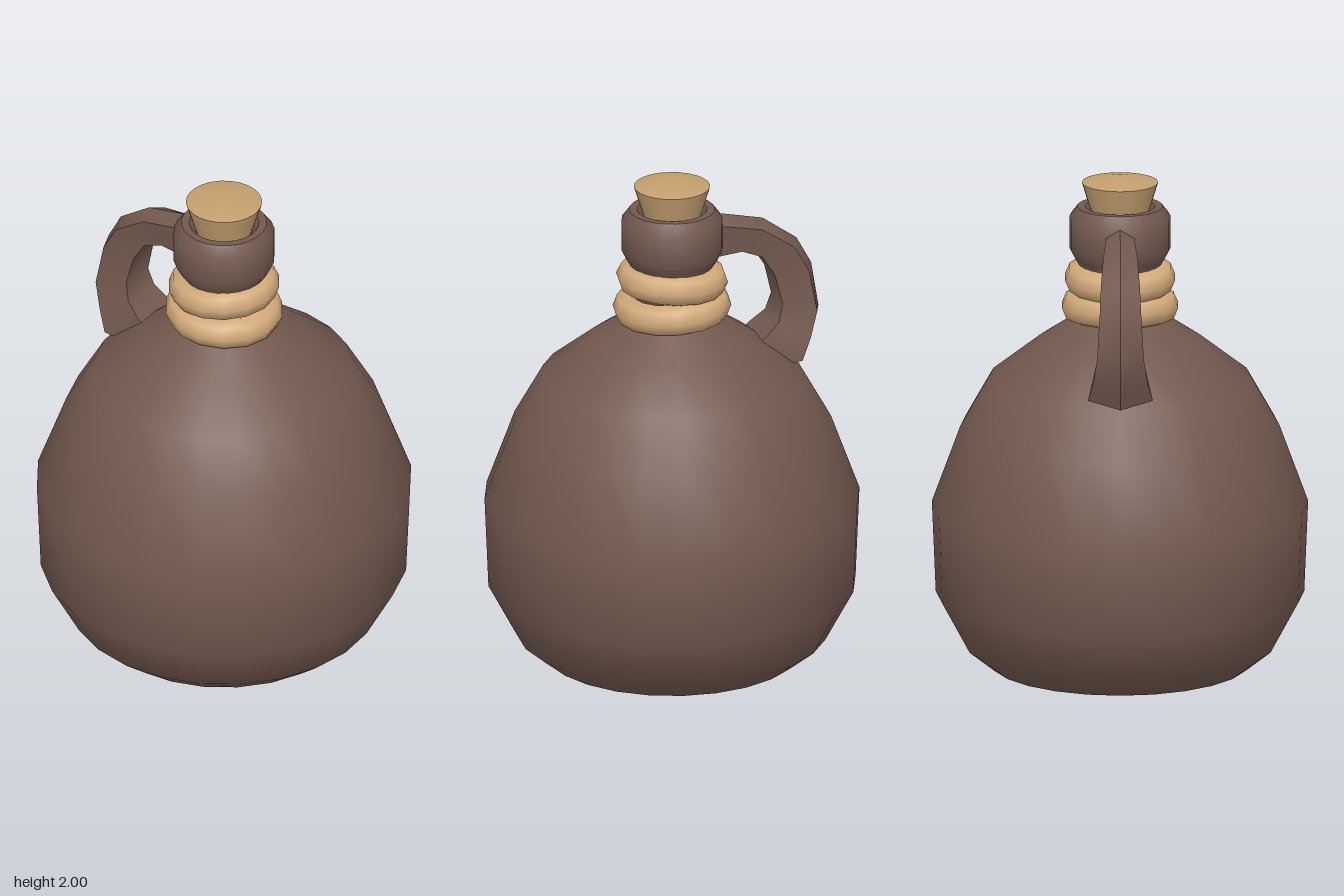
import * as THREE from 'three';
import { toCreasedNormals } from 'three/addons/utils/BufferGeometryUtils.js';

const mat = (color) => new THREE.MeshStandardMaterial({ color });
const clay = mat(0x73594f), rope = mat(0xd3aa7b), corkMat = mat(0xc49f6f);

function part(name, geometry, material, crease = 0.8) {
  const mesh = new THREE.Mesh(toCreasedNormals(geometry, crease), material);
  mesh.name = name;
  return mesh;
}

function lathe(profile, sides) {
  return new THREE.LatheGeometry(profile.map(([r, y]) => new THREE.Vector2(r, y)), sides);
}

// Handle lofted from five-sided sections: [outerX, outerY, innerX, innerY, halfWidth]
function handleGeometry() {
  const sections = [
    [-0.12, 1.84, -0.12, 1.66, 0.05],
    [-0.20, 1.83, -0.19, 1.67, 0.055],
    [-0.37, 1.79, -0.27, 1.68, 0.065],
    [-0.51, 1.69, -0.35, 1.65, 0.075],
    [-0.57, 1.58, -0.40, 1.57, 0.08],
    [-0.60, 1.40, -0.43, 1.45, 0.09],
    [-0.565, 1.29, -0.41, 1.38, 0.105],
    [-0.53, 1.20, -0.35, 1.33, 0.125],
    [-0.46, 1.19, -0.28, 1.28, 0.11],
  ];
  // [share of the way from outer to inner, share of half width]
  const ring = [[0, 0], [0.22, 1], [1, 0.75], [1, -0.75], [0.22, -1]];
  const n = ring.length, pos = [], idx = [];
  for (const [ox, oy, ix, iy, w] of sections)
    for (const [t, s] of ring) pos.push(ox + (ix - ox) * t, oy + (iy - oy) * t, w * s);
  for (let i = 0; i < sections.length - 1; i++)
    for (let j = 0; j < n; j++) {
      const a = i * n + j, b = i * n + (j + 1) % n;
      idx.push(a, a + n, b, b, a + n, b + n);
    }
  const g = new THREE.BufferGeometry();
  g.setAttribute('position', new THREE.Float32BufferAttribute(pos, 3));
  g.setIndex(idx);
  return g;
}

export function createModel() {
  const jug = new THREE.Group();
  jug.name = 'jug';

  // Round belly and shoulders
  jug.add(part('body', lathe([
    [0, 0], [0.31, 0.005], [0.5, 0.055], [0.6, 0.135], [0.71, 0.34], [0.725, 0.7],
    [0.615, 1.0], [0.505, 1.195], [0.32, 1.34], [0.2, 1.42], [0.16, 1.45],
  ], 24), clay));

  // Neck with a thick collar and a shallow mouth
  jug.add(part('neck', lathe([
    [0.16, 1.4], [0.155, 1.64], [0.175, 1.67], [0.195, 1.71], [0.195, 1.835],
    [0.165, 1.875], [0.135, 1.875], [0.11, 1.84], [0, 1.84],
  ], 24), clay));

  jug.add(part('handle', handleGeometry(), clay, 0.6));

  // Two loosely wound, slightly tilted rope coils
  for (const [name, y, radius, tilt] of [['lowerRope', 1.48, 0.168, -0.05], ['upperRope', 1.592, 0.155, 0.06]]) {
    const g = new THREE.TorusGeometry(radius, 0.062, 8, 14).rotateX(Math.PI / 2);
    const coil = part(name, g, rope, 1.2);
    coil.position.y = y;
    coil.rotation.z = tilt;
    jug.add(coil);
  }

  // Tapered cork with a low domed top
  jug.add(part('cork', lathe([[0, 1.83], [0.105, 1.83], [0.147, 1.97], [0, 2]], 24), corkMat));

  return jug;
}
